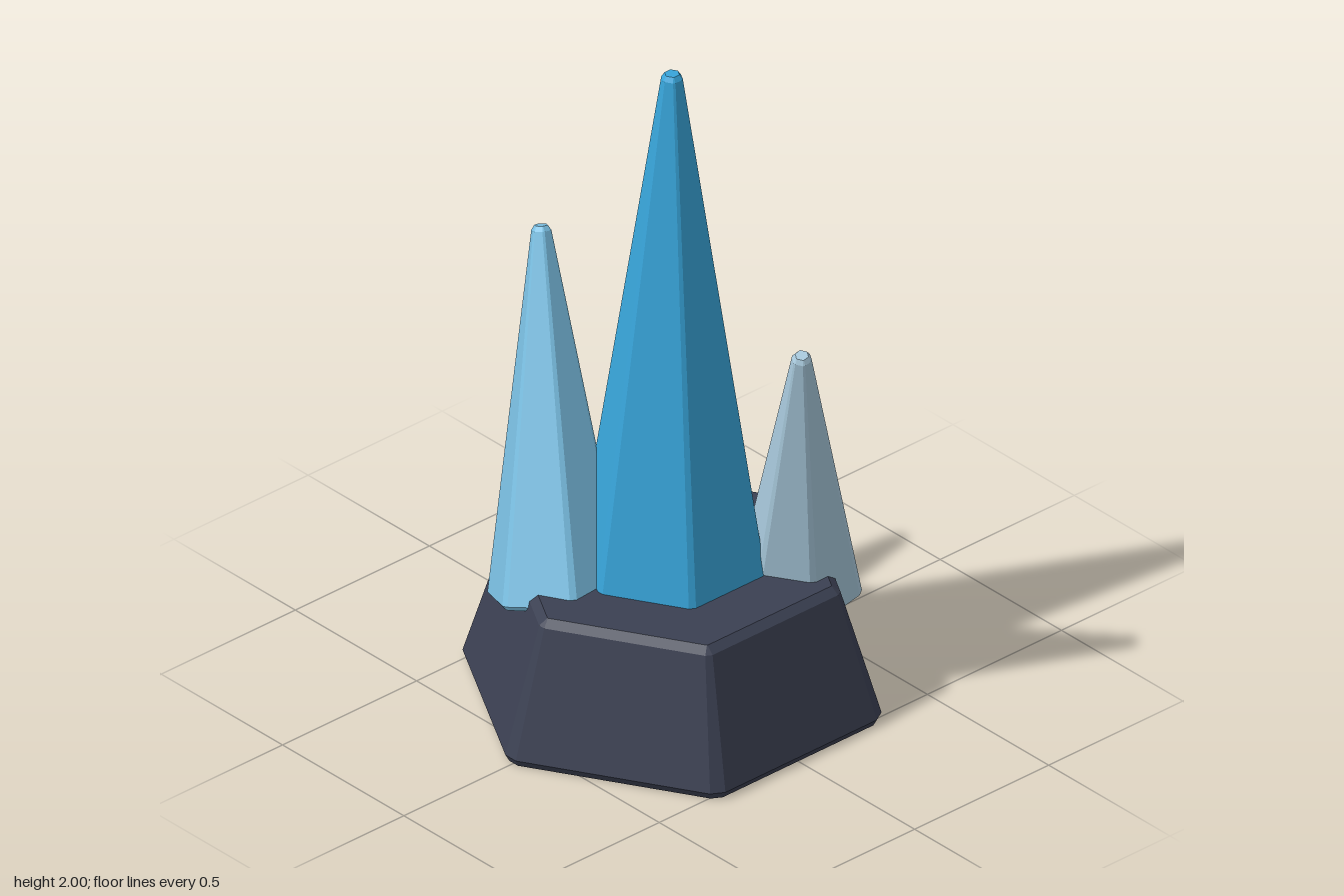
import * as THREE from 'three';

const material = (name, color) => {
  const m = new THREE.MeshStandardMaterial({ color });
  m.name = name;
  return m;
};

// Hexagon ring with clipped corners: y height, apothem, length cut off each corner
function hexRing([y, apothem, cut]) {
  const r = apothem / Math.cos(Math.PI / 6);
  const corner = (k) => {
    const a = (k * Math.PI) / 3;
    return new THREE.Vector3(r * Math.sin(a), y, r * Math.cos(a));
  };
  const ring = [];
  for (let k = 0; k < 6; k++) {
    ring.push(corner(k).lerp(corner(k - 1), cut / r), corner(k).lerp(corner(k + 1), cut / r));
  }
  return ring;
}

// Closed, faceted solid through a stack of hexagon rings, bottom to top
function hexSolid(profile) {
  const rings = profile.map(hexRing);
  const n = rings[0].length;
  const points = [];
  const bottom = new THREE.Vector3(0, profile[0][0], 0);
  const top = new THREE.Vector3(0, profile[profile.length - 1][0], 0);
  for (let i = 0; i < n; i++) {
    const j = (i + 1) % n;
    for (let s = 0; s < rings.length - 1; s++) {
      const lo = rings[s], hi = rings[s + 1];
      points.push(lo[i], lo[j], hi[j], lo[i], hi[j], hi[i]);
    }
    const last = rings[rings.length - 1];
    points.push(bottom, rings[0][j], rings[0][i], top, last[i], last[j]);
  }
  const geometry = new THREE.BufferGeometry().setFromPoints(points);
  geometry.computeVertexNormals();
  return geometry;
}

// Tapered crystal with bevelled foot and blunt tip
function crystal(name, mat, height, apothem, tip) {
  const mesh = new THREE.Mesh(hexSolid([
    [0, apothem - 0.01, 0.008],
    [0.012, apothem, 0.012],
    [height - 0.014, tip, 0.004],
    [height, tip - 0.009, 0.001],
  ]), mat);
  mesh.name = name;
  return mesh;
}

export function createModel() {
  const group = new THREE.Group();
  group.name = 'crystalCluster';

  // Stone plinth with bevelled rims and corners
  const base = new THREE.Mesh(hexSolid([
    [0, 0.52, 0.02],
    [0.022, 0.532, 0.025],
    [0.4, 0.426, 0.012],
    [0.42, 0.402, 0.001],
  ]), material('dark stone', 0x3b4052));
  base.name = 'base';

  // Tall upright crystal
  const center = crystal('centerCrystal', material('deep blue', 0x38a5da), 1.62, 0.241, 0.028);
  center.position.y = 0.38;

  // Leaning crystal at front right
  const front = crystal('frontCrystal', material('light blue', 0x7abfe2), 1.06, 0.178, 0.026);
  front.position.set(-0.176, 0.325, 0.267);
  front.rotation.set(-0.186, 0, 0.265);

  // Leaning crystal at back left
  const back = crystal('backCrystal', material('pale blue grey', 0xa8c9dc), 0.96, 0.156, 0.026);
  back.position.set(0.19, 0.305, -0.307);
  back.rotation.set(0.205, 0, -0.227);

  group.add(base, center, front, back);
  return group;
}
